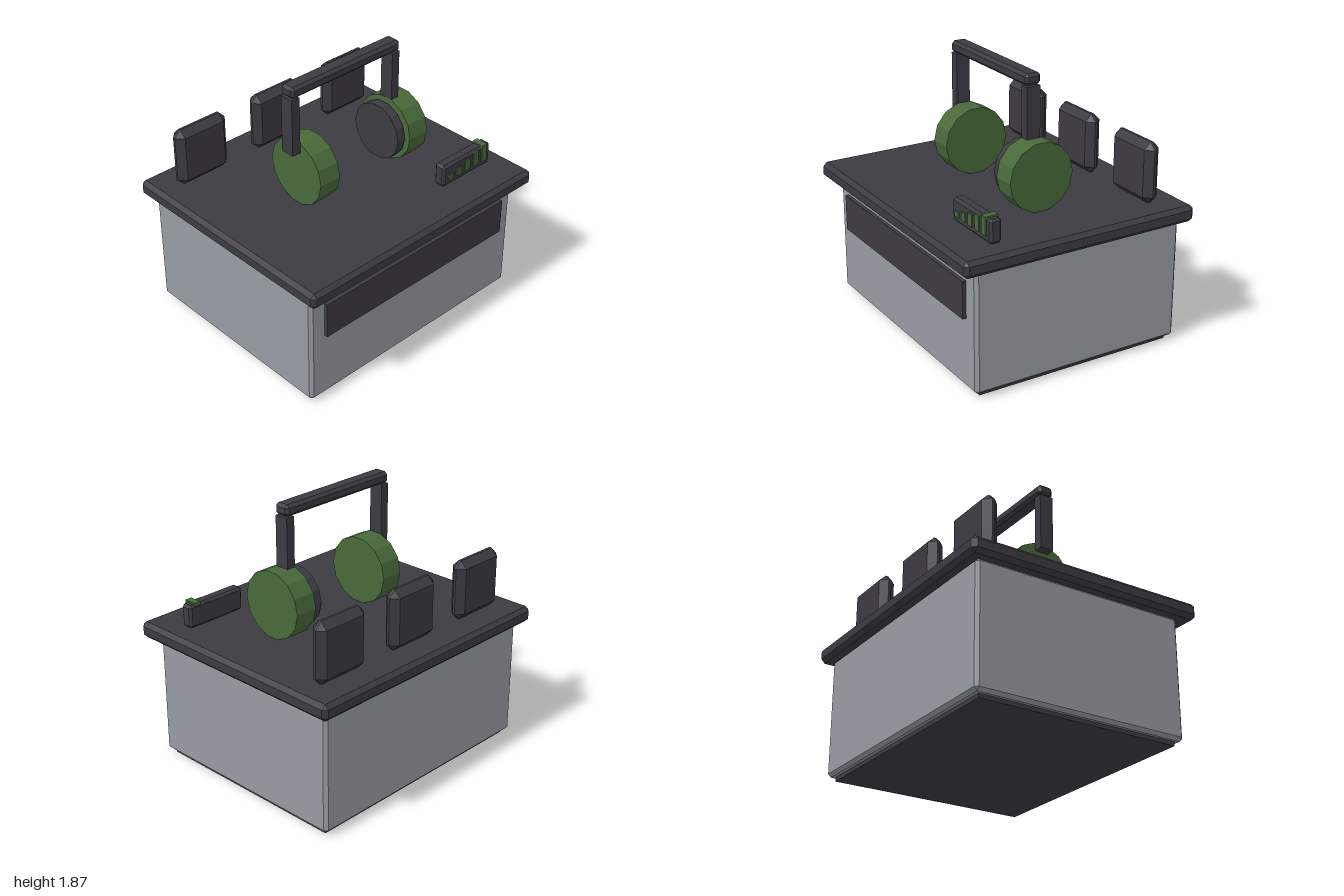
import * as THREE from 'three';
import { ConvexGeometry } from 'three/addons/geometries/ConvexGeometry.js';

const paint = (name, color) => {
  const m = new THREE.MeshStandardMaterial({ color });
  m.name = name;
  return m;
};

// Box whose edges are cut by one flat bevel of width c
function bevelBox(w, h, d, c) {
  const half = [w / 2, h / 2, d / 2];
  const points = [];
  for (const sx of [-1, 1]) for (const sy of [-1, 1]) for (const sz of [-1, 1]) {
    for (let outer = 0; outer < 3; outer++) {
      const p = half.map((v, i) => (i === outer ? v : v - c));
      points.push(new THREE.Vector3(sx * p[0], sy * p[1], sz * p[2]));
    }
  }
  return new ConvexGeometry(points);
}

export function createModel() {
  const model = new THREE.Group();
  model.name = 'machine';
  const grey = paint('casing grey', 0x979ba3);
  const dark = paint('dark trim', 0x3d3b42);
  const green = paint('green', 0x48693a);

  // Adds a box given by its limits on each axis, bevelled when c > 0
  function box(name, mat, [x0, x1], [y0, y1], [z0, z1], c = 0, parent = model) {
    const size = [x1 - x0, y1 - y0, z1 - z0];
    const geo = c ? bevelBox(...size, c) : new THREE.BoxGeometry(...size);
    const mesh = new THREE.Mesh(geo, mat);
    mesh.position.set((x0 + x1) / 2, (y0 + y1) / 2, (z0 + z1) / 2);
    mesh.name = name;
    parent.add(mesh);
  }

  // Adds a 14-sided disc with its axis along x
  function disc(name, mat, x0, x1, r) {
    const geo = new THREE.CylinderGeometry(r, r, x1 - x0, 14).rotateZ(Math.PI / 2).toNonIndexed();
    geo.computeVertexNormals();
    const mesh = new THREE.Mesh(geo, mat);
    mesh.position.set((x0 + x1) / 2, 1.212, 0.045);
    mesh.name = name;
    model.add(mesh);
  }

  // Cabinet
  box('base', dark, [-0.885, 0.885], [0, 0.06], [-0.742, 0.698]);
  box('body', grey, [-0.927, 0.927], [0.028, 0.875], [-0.788, 0.746], 0.022);
  box('lid', dark, [-1, 1], [0.866, 0.98], [-0.858, 0.858], 0.028);
  box('frontPanel', dark, [-0.812, 0.812], [0.515, 0.77], [0.73, 0.772]);

  // Row of upright plates at the back
  for (const x of [-0.652, -0.002, 0.648]) {
    box('backPlate', dark, [x - 0.208, x + 0.208], [0.98, 1.4], [-0.686, -0.572], 0.048);
  }

  // Drums and the thin disc beside the left one
  disc('rightDrum', green, -0.405, -0.24, 0.235);
  disc('leftDrum', green, 0.402, 0.567, 0.235);
  disc('thinDisc', dark, 0.319, 0.386, 0.203);

  // Carrying handle
  const handle = new THREE.Group();
  handle.name = 'handle';
  model.add(handle);
  box('handleBar', dark, [-0.475, 0.47], [1.79, 1.87], [-0.01, 0.104], 0.02, handle);
  box('rightPost', dark, [-0.475, -0.41], [1.38, 1.786], [-0.004, 0.096], 0, handle);
  box('leftPost', dark, [0.403, 0.468], [1.38, 1.786], [-0.004, 0.096], 0, handle);

  // Level meter with five rising bars
  const meter = new THREE.Group();
  meter.name = 'meter';
  model.add(meter);
  box('meterCase', dark, [0.397, 0.855], [0.982, 1.145], [0.513, 0.599], 0.017, meter);
  for (let i = 0; i < 5; i++) {
    const x = 0.461 + i * 0.0815;
    box('meterBar', green, [x - 0.024, x + 0.024], [1.028, 1.066 + i * 0.0222], [0.516, 0.608], 0, meter);
  }
  return model;
}
